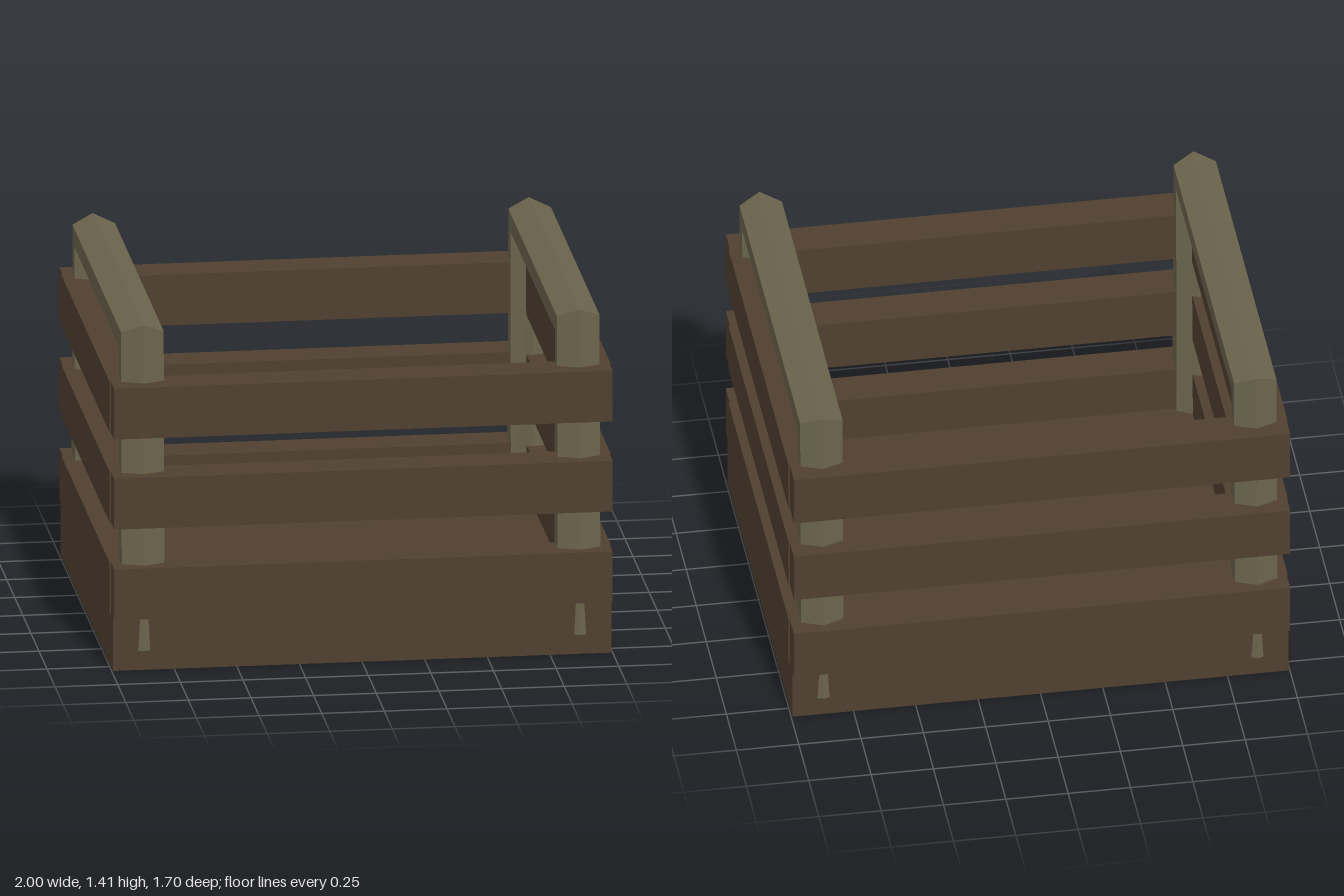
import * as THREE from 'three';

const wood = new THREE.MeshStandardMaterial({ color: 0x504030, flatShading: true });
const pale = new THREE.MeshStandardMaterial({ color: 0x6b644c, flatShading: true });

// Box given by its size and the centre of its underside
function board(name, w, h, d, x, y, z) {
  const mesh = new THREE.Mesh(new THREE.BoxGeometry(w, h, d), wood);
  mesh.position.set(x, y + h / 2, z);
  mesh.name = name;
  return mesh;
}

// Hexagonal beam bent into an upside-down U with mitred corners and splayed legs
function frameGeometry() {
  const w = 0.085;
  const side = [0, w, w, 0, -w, -w];
  const depth = [0, 1, 2, 3, 2, 1]; // outer ridge, outer edge, inner edge, inner ridge
  const footZ = [0.82, 0.785, 0.675, 0.627];
  const cornerZ = [0.787, 0.755, 0.69, 0.66];
  const cornerY = [1.415, 1.38, 1.305, 1.275];
  const foot = s => side.map((x, j) => [x, 0.08, s * footZ[depth[j]]]);
  const corner = s => side.map((x, j) => [x, cornerY[depth[j]], s * cornerZ[depth[j]]]);
  const rings = [foot(1), corner(1), corner(-1), foot(-1)];
  const pos = [];
  const tri = (...points) => points.forEach(p => pos.push(...p));
  for (let k = 0; k < 3; k++) {
    for (let j = 0; j < 6; j++) {
      const n = (j + 1) % 6;
      const [a, b, c, d] = [rings[k][j], rings[k][n], rings[k + 1][n], rings[k + 1][j]];
      tri(a, b, c);
      tri(a, c, d);
    }
  }
  // End caps under the feet
  for (let j = 1; j < 5; j++) {
    tri(rings[0][0], rings[0][j + 1], rings[0][j]);
    tri(rings[3][0], rings[3][j], rings[3][j + 1]);
  }
  const geo = new THREE.BufferGeometry();
  geo.setAttribute('position', new THREE.Float32BufferAttribute(pos, 3));
  geo.computeVertexNormals();
  return geo;
}

export function createModel() {
  const crate = new THREE.Group();
  crate.name = 'crate';

  // Solid base
  crate.add(board('base', 1.99, 0.24, 1.62, 0, 0, 0));

  // Three rows of slats on all four sides
  for (const y of [0.22, 0.595, 0.967]) {
    for (const s of [1, -1]) {
      crate.add(board(s > 0 ? 'frontSlat' : 'backSlat', 1.99, 0.21, 0.155, 0, y, s * 0.7725));
      crate.add(board(s > 0 ? 'leftSlat' : 'rightSlat', 0.155, 0.209, 1.5, s * 0.9225, y, 0));
    }
  }

  // Two handle frames forming the corner posts and top rails
  const geo = frameGeometry();
  for (const s of [1, -1]) {
    const frame = new THREE.Mesh(geo, pale);
    frame.position.x = s * 0.87;
    frame.name = s > 0 ? 'leftHandleFrame' : 'rightHandleFrame';
    crate.add(frame);
  }
  return crate;
}
